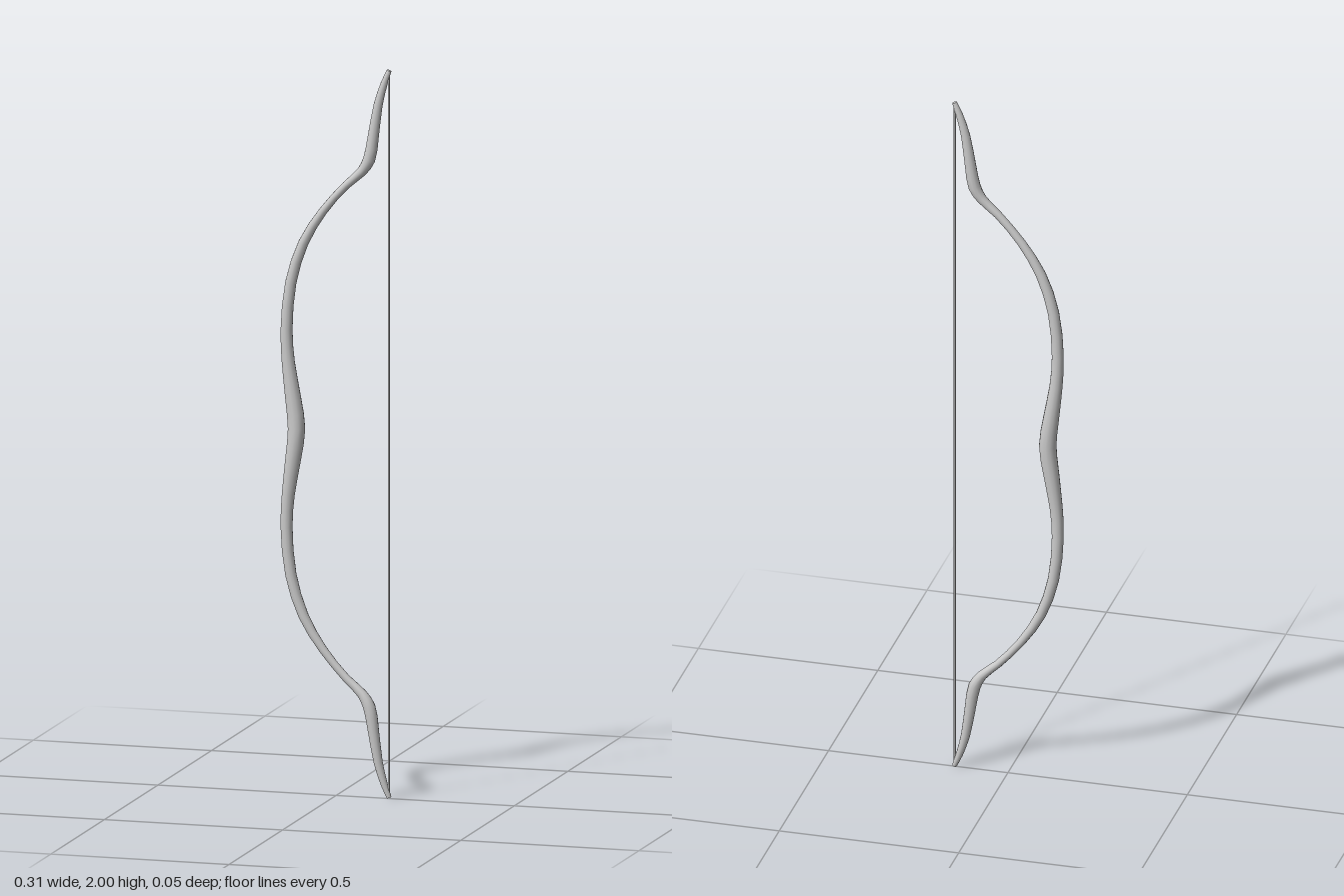
import * as THREE from 'three';

// Upper limb stations from grip to tip: x, y, radius
const LIMB = [
  [-0.111, 1.0, 0.024], [-0.12, 1.08, 0.022], [-0.134, 1.18, 0.018], [-0.139, 1.27, 0.0165],
  [-0.127, 1.4, 0.0155], [-0.092, 1.51, 0.014], [-0.037, 1.6, 0.0115], [0.028, 1.675, 0.011],
  [0.072, 1.715, 0.0135], [0.093, 1.75, 0.017], [0.104, 1.81, 0.0155], [0.118, 1.9, 0.0125],
  [0.135, 1.96, 0.0095], [0.149, 1.996, 0.0065],
];
const SIDES = 12;

// Sweeps a round section along a curve whose z component holds the radius
function taperedSweep(curve, segments) {
  const pos = [], index = [];
  const ring = (t, scale) => {
    const p = curve.getPoint(t), d = curve.getTangent(t);
    const len = Math.hypot(d.x, d.y), nx = d.y / len, ny = -d.x / len;
    for (let j = 0; j < SIDES; j++) {
      const a = (j / SIDES) * Math.PI * 2, u = Math.cos(a) * p.z * scale;
      pos.push(p.x + nx * u, p.y + ny * u, Math.sin(a) * p.z * scale);
    }
  };
  const join = (r) => {
    for (let j = 0; j < SIDES; j++) {
      const k = (j + 1) % SIDES, a = r * SIDES;
      index.push(a + j, a + SIDES + j, a + k, a + k, a + SIDES + j, a + SIDES + k);
    }
  };
  // Body rings, then a flat cap at each end with its own rim vertices
  for (let i = 0; i <= segments; i++) ring(i / segments, 1);
  for (let i = 0; i < segments; i++) join(i);
  ring(0, 0); ring(0, 1);
  join(segments + 1);
  ring(1, 1); ring(1, 0);
  join(segments + 3);
  const geo = new THREE.BufferGeometry();
  geo.setAttribute('position', new THREE.Float32BufferAttribute(pos, 3));
  geo.setIndex(index);
  geo.computeVertexNormals();
  return geo;
}

export function createModel() {
  const group = new THREE.Group();
  group.name = 'recurveBow';
  const material = new THREE.MeshStandardMaterial({ color: 0xcccccc, roughness: 0.7 });

  // Stave: lower limb mirrors the upper one about the grip
  const upper = LIMB.map(([x, y, r]) => new THREE.Vector3(x, y, r));
  const lower = LIMB.slice(1).reverse().map(([x, y, r]) => new THREE.Vector3(x, 2 - y, r));
  const points = [...lower, ...upper];
  const stave = new THREE.Mesh(
    taperedSweep(new THREE.CatmullRomCurve3(points), (points.length - 1) * 2), material);
  stave.name = 'stave';
  group.add(stave);

  // String stretched between the tips
  const string = new THREE.Mesh(new THREE.CylinderGeometry(0.003, 0.003, 1.98, 8), material);
  string.name = 'bowString';
  string.position.set(0.148, 1, 0);
  group.add(string);

  return group;
}
